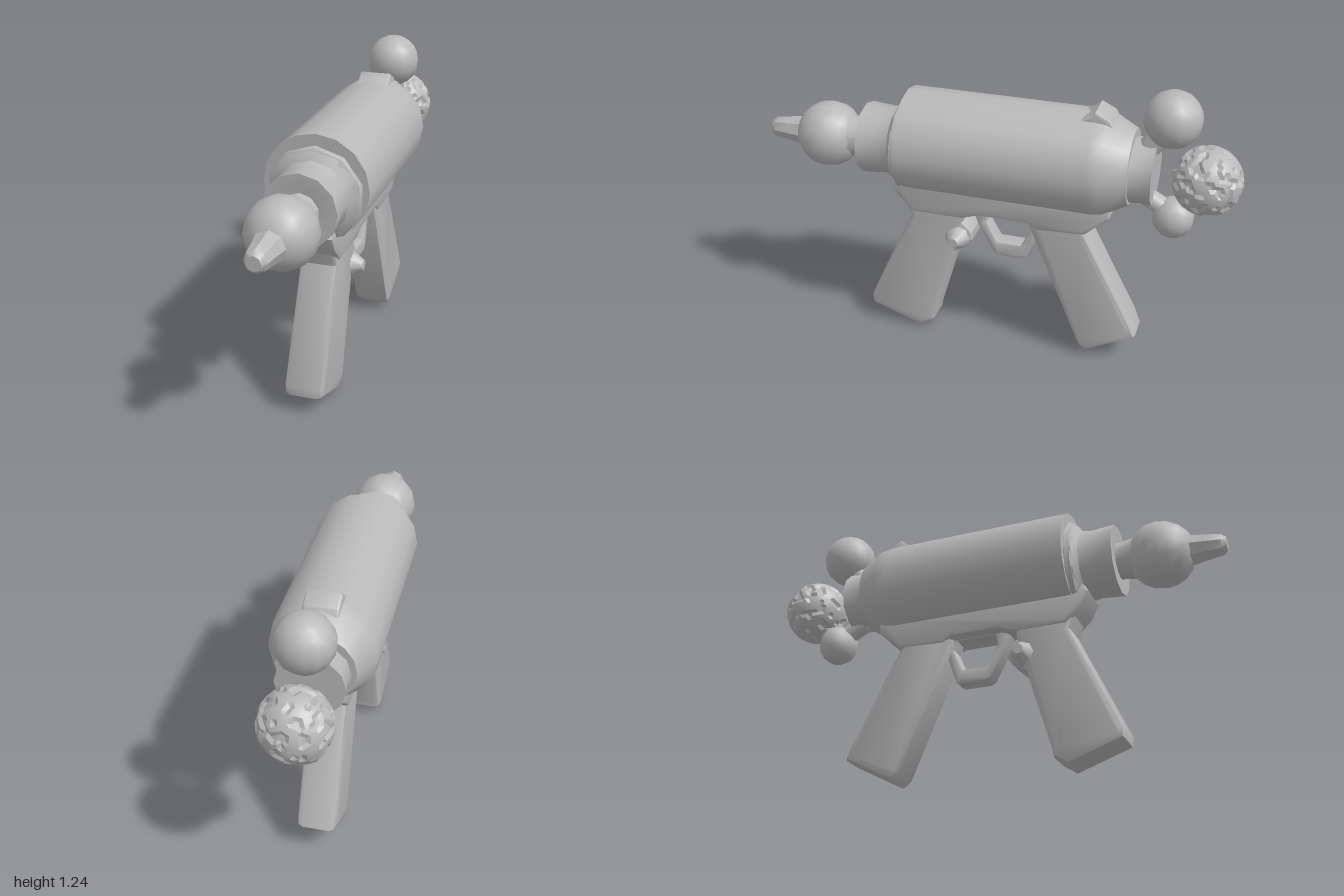
import * as THREE from 'three';
import { toCreasedNormals, mergeVertices } from 'three/addons/utils/BufferGeometryUtils.js';

export function createModel() {
  const model = new THREE.Group();
  model.name = 'toyRayGun';
  const grey = new THREE.MeshStandardMaterial({ color: 0xb8b8b8 });
  grey.name = 'plain grey';

  const add = (name, geometry, x = 0, y = 0, z = 0) => {
    const mesh = new THREE.Mesh(geometry, grey);
    mesh.name = name;
    mesh.position.set(x, y, z);
    model.add(mesh);
    return mesh;
  };

  // Turned part along z; profile is [z, radius] from back to front
  const turned = (name, y, profile, sides) => {
    const g = new THREE.LatheGeometry(profile.map(([z, r]) => new THREE.Vector2(r, z)), sides);
    g.rotateX(Math.PI / 2);
    return add(name, toCreasedNormals(g, 0.75), 0, y, 0);
  };

  // Side outline in [z, y], extruded across x with softened edges
  const outline = (path, points) => {
    points.forEach(([z, y], i) => (i ? path.lineTo(-z, y) : path.moveTo(-z, y)));
    path.closePath();
    return path;
  };
  const slab = (name, points, halfWidth, bevel, hole) => {
    const shape = outline(new THREE.Shape(), points);
    if (hole) shape.holes.push(outline(new THREE.Path(), hole));
    const depth = 2 * (halfWidth - bevel);
    const g = new THREE.ExtrudeGeometry(shape, {
      depth, bevelThickness: bevel, bevelSize: bevel, bevelOffset: -bevel, bevelSegments: 2, steps: 1,
    });
    g.translate(0, 0, -depth / 2);
    g.rotateY(Math.PI / 2);
    return add(name, toCreasedNormals(g, 0.7), 0, 0, 0);
  };

  // Main barrel with tapered rear shoulder
  turned('barrel', 0.91, [
    [-0.57, 0], [-0.57, 0.155], [-0.55, 0.165], [-0.47, 0.208], [-0.42, 0.214], [0.37, 0.214], [0.37, 0],
  ], 16);

  // Rear flange
  turned('rearFlange', 0.9, [[-0.66, 0], [-0.66, 0.135], [-0.62, 0.13], [-0.56, 0.135], [-0.54, 0.1]], 12);

  // Front collar, stepped
  turned('frontCollar', 0.885, [
    [0.34, 0.17], [0.37, 0.185], [0.4, 0.18], [0.42, 0.15], [0.46, 0.142], [0.56, 0.15], [0.56, 0.09], [0.54, 0],
  ], 12);
  turned('collarRing', 0.885, [[0.36, 0.15], [0.375, 0.195], [0.395, 0.19], [0.415, 0.15]], 10);

  // Muzzle: neck, bulb and tip
  turned('muzzleNeck', 0.88, [[0.53, 0.085], [0.57, 0.075], [0.64, 0.09]], 10);
  const bulb = new THREE.SphereGeometry(0.14, 14, 10);
  bulb.rotateX(Math.PI / 2);
  add('muzzleBulb', bulb, 0, 0.875, 0.735);
  turned('muzzleTip', 0.873, [[0.82, 0.075], [0.87, 0.062], [0.91, 0.055], [0.98, 0.045], [1, 0.03], [1, 0]], 8);

  // Low ridge on the rear shoulder
  slab('rearSight', [[-0.34, 1.1], [-0.4, 1.13], [-0.42, 1.15], [-0.48, 1.12], [-0.5, 1.08]], 0.07, 0.01);

  // Rear balls
  add('upperBall', new THREE.SphereGeometry(0.115, 14, 10), 0, 1.133, -0.71);
  add('lowerBall', new THREE.SphereGeometry(0.086, 10, 8), 0, 0.712, -0.742);
  const stub = (name, y0, z0, y1, z1, r) => {
    const a = new THREE.Vector3(0, y0, z0), b = new THREE.Vector3(0, y1, z1);
    const mesh = add(name, new THREE.CylinderGeometry(r, r, a.distanceTo(b), 8));
    mesh.position.copy(a).add(b).multiplyScalar(0.5);
    mesh.quaternion.setFromUnitVectors(new THREE.Vector3(0, 1, 0), b.sub(a).normalize());
  };
  stub('upperStub', 0.98, -0.61, 1.08, -0.68, 0.045);
  stub('lowerStub', 0.8, -0.61, 0.74, -0.72, 0.04);
  stub('ballLink', 0.74, -0.755, 0.82, -0.81, 0.035);

  // Pitted ball: vertices pushed in by a repeatable pattern
  let pitted = new THREE.IcosahedronGeometry(0.139, 9);
  pitted.deleteAttribute('normal');
  pitted.deleteAttribute('uv');
  pitted = mergeVertices(pitted, 1e-4);
  const pos = pitted.attributes.position;
  const v = new THREE.Vector3();
  for (let i = 0; i < pos.count; i++) {
    v.fromBufferAttribute(pos, i);
    const n = Math.sin(v.x * 95 + 2 * Math.sin(v.y * 60)) + Math.sin(v.y * 90 + 2 * Math.sin(v.z * 64))
      + Math.sin(v.z * 98 + 2 * Math.sin(v.x * 57));
    if (n > 0.75) v.multiplyScalar(0.93);
    pos.setXYZ(i, v.x, v.y, v.z);
  }
  add('pittedBall', toCreasedNormals(pitted, 0.4), 0, 0.893, -0.861);

  // Rail beneath the barrel
  slab('underRail', [
    [0.44, 0.73], [0.41, 0.67], [0.34, 0.6], [0.12, 0.6], [0.05, 0.625], [-0.16, 0.625], [-0.2, 0.6],
    [-0.4, 0.61], [-0.5, 0.7], [-0.5, 0.77], [0.42, 0.77],
  ], 0.09, 0.02);

  // Grips
  slab('frontGrip', [
    [0.4, 0.7], [0.355, 0.58], [0.56, 0.13], [0.555, 0.09], [0.33, 0.01], [0.27, 0.05],
    [0.265, 0.08], [0.165, 0.42], [0.12, 0.6], [0.08, 0.7],
  ], 0.08, 0.025);
  slab('rearGrip', [
    [-0.16, 0.7], [-0.165, 0.6], [-0.39, 0.06], [-0.425, 0.033], [-0.635, 0.145], [-0.61, 0.21],
    [-0.4, 0.61], [-0.47, 0.71],
  ], 0.08, 0.025);

  // Thumb catch behind the front grip, with a pointed knob on each side
  slab('catch', [[0.2, 0.6], [0.12, 0.57], [0.085, 0.53], [0.085, 0.49], [0.15, 0.43], [0.22, 0.4]], 0.07, 0.015);
  for (const side of [-1, 1]) {
    const knob = new THREE.CylinderGeometry(0.022, 0.06, 0.06, 8);
    knob.rotateZ(-side * Math.PI / 2);
    add(side > 0 ? 'leftKnob' : 'rightKnob', knob, side * 0.095, 0.5, 0.15);
  }

  // Trigger guard loop
  slab('triggerGuard', [
    [0.1, 0.66], [0.07, 0.57], [0, 0.435], [-0.02, 0.423], [-0.14, 0.423], [-0.155, 0.435], [-0.2, 0.56], [-0.21, 0.66],
  ], 0.04, 0.012, [
    [0.02, 0.62], [0.03, 0.575], [-0.02, 0.488], [-0.125, 0.488], [-0.165, 0.58], [-0.15, 0.62],
  ]);

  return model;
}
